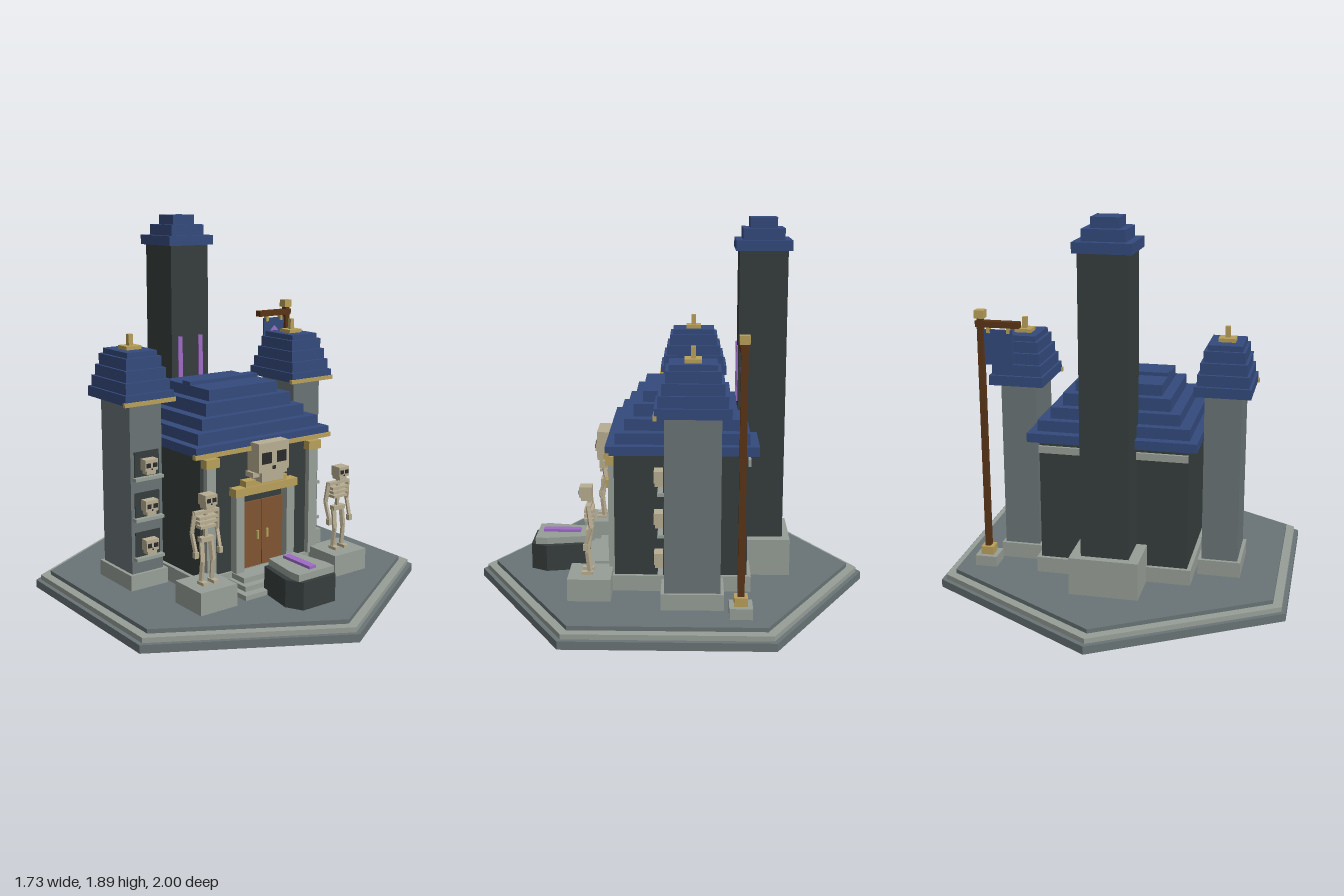
import * as THREE from 'three';

const mat = (name, color) => {
  const m = new THREE.MeshStandardMaterial({ color });
  m.name = name;
  return m;
};

export function createModel() {
  const darkStone = mat('dark stone', 0x363d3c);
  const midStone = mat('mid stone', 0x697375);
  const lightStone = mat('light stone', 0x979e97);
  const roofBlue = mat('roof blue', 0x344a7c);
  const gold = mat('gold', 0xb89f5a);
  const bone = mat('bone', 0xb8ad92);
  const doorWood = mat('door wood', 0x805431);
  const poleWood = mat('pole wood', 0x5a3518);
  const purple = mat('purple glow', 0x9d6bc4);
  const socket = mat('socket black', 0x2a2b2c);

  const model = new THREE.Group();
  model.name = 'mausoleum';

  const group = (name, parent = model, x = 0, y = 0, z = 0) => {
    const g = new THREE.Group();
    g.name = name;
    g.position.set(x, y, z);
    parent.add(g);
    return g;
  };
  const add = (parent, name, geometry, material) => {
    const m = new THREE.Mesh(geometry, material);
    m.name = name;
    parent.add(m);
    return m;
  };
  // Box given by its low and high corners
  const box = (parent, name, material, x0, x1, y0, y1, z0, z1) => {
    const m = add(parent, name, new THREE.BoxGeometry(x1 - x0, y1 - y0, z1 - z0), material);
    m.position.set((x0 + x1) / 2, (y0 + y1) / 2, (z0 + z1) / 2);
    return m;
  };
  // Box centred on x
  const mid = (parent, name, material, hx, y0, y1, z0, z1) =>
    box(parent, name, material, -hx, hx, y0, y1, z0, z1);
  // Stepped roof; each tier is [half x, half z, bottom, top]
  const steppedRoof = (parent, tiers) => tiers.forEach(([hx, hz, y0, y1]) =>
    mid(parent, 'roofTier', roofBlue, hx, y0, y1, -hz, hz));
  // Square bone between two points
  const limb = (parent, name, a, b, t) => {
    const from = new THREE.Vector3(...a), to = new THREE.Vector3(...b);
    const m = add(parent, name, new THREE.BoxGeometry(t, from.distanceTo(to), t), bone);
    m.position.copy(from).add(to).multiplyScalar(0.5);
    m.quaternion.setFromUnitVectors(new THREE.Vector3(0, 1, 0), to.sub(from).normalize());
  };
  // Block skull resting on y = 0, back on z = 0, s = half width
  const skull = (parent, x, y, z, s, depth) => {
    const g = group('skull', parent, x, y, z);
    mid(g, 'cranium', bone, s, s * 0.55, s * 2.1, 0, depth);
    mid(g, 'jaw', bone, s * 0.72, 0, s * 0.55, 0, depth * 0.9);
    for (const e of [-1, 1]) {
      const c = e * s * 0.5;
      box(g, 'eyeSocket', socket, c - s * 0.32, c + s * 0.32, s * 1.0, s * 1.6, depth, depth + 0.003);
    }
    mid(g, 'noseHole', socket, s * 0.09, s * 0.66, s * 0.85, depth, depth + 0.003);
    return g;
  };

  // Hexagonal base
  const base = group('base');
  [[1, 0, 0.04, midStone], [0.975, 0.04, 0.065, lightStone], [0.925, 0.065, 0.086, midStone]]
    .forEach(([r, y0, y1, m]) => {
      const slab = add(base, 'baseSlab', new THREE.CylinderGeometry(r, r, y1 - y0, 6).toNonIndexed(), m);
      slab.geometry.computeVertexNormals();
      slab.position.y = (y0 + y1) / 2;
    });

  // Main hall
  const hall = group('hall');
  mid(hall, 'hallPlinth', lightStone, 0.39, 0.085, 0.165, -0.4, 0.285);
  mid(hall, 'hallWalls', darkStone, 0.37, 0.165, 0.79, -0.38, 0.27);
  mid(hall, 'rearCornice', lightStone, 0.37, 0.72, 0.755, -0.395, -0.38);
  mid(hall, 'eaveTrim', gold, 0.425, 0.775, 0.797, 0.29, 0.315);
  steppedRoof(group('hallRoof', hall, 0, 0, -0.062), [
    [0.417, 0.37, 0.785, 0.83], [0.375, 0.325, 0.83, 0.885], [0.32, 0.283, 0.885, 0.942],
    [0.267, 0.24, 0.942, 1.005], [0.216, 0.195, 1.005, 1.06], [0.216, 0.033, 1.06, 1.078],
  ]);
  for (const s of [-1, 1]) {
    const p = group('frontPillar', hall, s * 0.322);
    mid(p, 'pillarShaft', lightStone, 0.027, 0.165, 0.72, 0.27, 0.298);
    mid(p, 'pillarCapital', gold, 0.04, 0.72, 0.765, 0.27, 0.312);
  }

  // Doorway
  const door = group('doorway');
  [[0.245, 0.085, 0.11, 0.47], [0.212, 0.11, 0.135, 0.425], [0.19, 0.135, 0.162, 0.385]]
    .forEach(([hx, y0, y1, z1]) => mid(door, 'step', lightStone, hx, y0, y1, 0.27, z1));
  for (const s of [-1, 1]) {
    const c = s * 0.068;
    box(door, 'doorLeaf', doorWood, c - 0.066, c + 0.066, 0.162, 0.505, 0.27, 0.282);
    box(door, 'doorHandle', gold, s * 0.03 - 0.006, s * 0.03 + 0.006, 0.305, 0.35, 0.282, 0.292);
    box(door, 'doorJamb', lightStone, s * 0.16 - 0.025, s * 0.16 + 0.025, 0.162, 0.555, 0.27, 0.315);
  }
  mid(door, 'doorLintel', gold, 0.195, 0.555, 0.595, 0.27, 0.325);
  mid(door, 'skullShelf', gold, 0.13, 0.595, 0.625, 0.27, 0.318);
  const crest = skull(door, 0, 0.62, 0.285, 0.094, 0.09);
  for (const s of [-1, 1])
    box(crest, 'cheek', bone, s * 0.085 - 0.022, s * 0.085 + 0.022, 0.025, 0.05, 0, 0.06);

  // Side towers with skull niches
  for (const s of [-1, 1]) {
    const t = group('sideTower', model, s * 0.512, 0, -0.113);
    mid(t, 'towerPlinth', lightStone, 0.107, 0.085, 0.165, -0.15, 0.15);
    mid(t, 'towerShaft', midStone, 0.09, 0.165, 1.03, -0.133, 0.133);
    mid(t, 'towerEaveTrim', gold, 0.145, 1.015, 1.036, 0.165, 0.183);
    steppedRoof(t, [
      [0.137, 0.178, 1.02, 1.07], [0.125, 0.162, 1.07, 1.125], [0.113, 0.145, 1.125, 1.18],
      [0.1, 0.128, 1.18, 1.235], [0.085, 0.112, 1.235, 1.262],
    ]);
    mid(t, 'finialBase', gold, 0.042, 1.262, 1.28, -0.04, 0.04);
    mid(t, 'finialSpike', gold, 0.012, 1.28, 1.335, -0.012, 0.012);
    for (const y of [0.25, 0.45, 0.655]) {
      mid(t, 'niche', darkStone, 0.07, y, y + 0.125, 0.133, 0.138);
      mid(t, 'nicheLedge', lightStone, 0.08, y - 0.016, y, 0.133, 0.165);
      skull(t, 0, y + 0.015, 0.138, 0.036, 0.045);
    }
  }

  // Tall rear tower
  const tall = group('tallTower', model, 0, 0, -0.453);
  mid(tall, 'tallTowerPlinth', lightStone, 0.17, 0.085, 0.275, -0.155, 0.075);
  mid(tall, 'tallTowerShaft', darkStone, 0.117, 0.275, 1.74, -0.118, 0.118);
  steppedRoof(tall, [[0.138, 0.137, 1.735, 1.785], [0.102, 0.102, 1.785, 1.84], [0.067, 0.067, 1.84, 1.89]]);
  for (const x of [-0.066, 0.064])
    box(tall, 'glowingSlit', purple, x - 0.013, x + 0.013, 0.98, 1.26, 0.118, 0.125);

  // Coffin altar
  const altar = group('altar');
  const coffinPart = (name, pts, y0, y1, m) => {
    const outline = pts.concat(pts.map(([x, z]) => [-x, z]).reverse());
    const shape = new THREE.Shape(outline.map(([x, z]) => new THREE.Vector2(x, -z)));
    const g = new THREE.ExtrudeGeometry(shape, { depth: y1 - y0, bevelEnabled: false });
    add(altar, name, g.rotateX(-Math.PI / 2).translate(0, y0, 0), m);
  };
  coffinPart('altarBody', [[0.105, 0.435], [0.143, 0.64], [0.1, 0.722]], 0.085, 0.222, darkStone);
  coffinPart('altarSlab', [[0.08, 0.438], [0.113, 0.64], [0.11, 0.7]], 0.222, 0.256, lightStone);
  mid(altar, 'altarGlow', purple, 0.02, 0.256, 0.27, 0.475, 0.67);

  // Skeleton guards on pedestals
  for (const s of [-1, 1]) {
    const k = group('skeletonGuard', model, s * 0.418, 0, 0.385);
    mid(k, 'pedestal', lightStone, 0.106, 0.085, 0.197, -0.105, 0.105);
    skull(k, 0, 0.567, -0.015, 0.033, 0.06);
    limb(k, 'spine', [0, 0.41, -0.005], [0, 0.57, 0], 0.016);
    mid(k, 'shoulders', bone, 0.07, 0.54, 0.555, -0.012, 0.012);
    [[0.053, 0.515], [0.05, 0.493], [0.044, 0.47]].forEach(([hx, y]) =>
      mid(k, 'rib', bone, hx, y, y + 0.014, -0.022, 0.022));
    mid(k, 'pelvis', bone, 0.037, 0.402, 0.425, -0.016, 0.016);
    for (const e of [-1, 1]) {
      limb(k, 'upperArm', [e * 0.065, 0.55, 0], [e * 0.073, 0.45, -0.012], 0.018);
      limb(k, 'foreArm', [e * 0.073, 0.45, -0.012], [e * 0.07, 0.36, 0.015], 0.015);
      box(k, 'hand', bone, e * 0.07 - 0.011, e * 0.07 + 0.011, 0.335, 0.365, 0.004, 0.026);
      limb(k, 'thigh', [e * 0.027, 0.41, 0], [e * 0.029, 0.31, 0.012], 0.02);
      limb(k, 'shin', [e * 0.029, 0.31, 0.012], [e * 0.031, 0.2, 0], 0.017);
      box(k, 'foot', bone, e * 0.031 - 0.014, e * 0.031 + 0.014, 0.197, 0.212, -0.014, 0.04);
    }
  }

  // Banner pole
  const pole = group('bannerPole', model, 0.664, 0, -0.34);
  mid(pole, 'poleFooting', lightStone, 0.056, 0.085, 0.14, -0.055, 0.055);
  mid(pole, 'poleSocket', gold, 0.032, 0.14, 0.182, -0.032, 0.032);
  mid(pole, 'poleShaft', poleWood, 0.014, 0.182, 1.37, -0.016, 0.016);
  mid(pole, 'poleCap', gold, 0.024, 1.37, 1.41, -0.024, 0.024);
  box(pole, 'crossArm', poleWood, -0.198, 0.022, 1.327, 1.358, -0.019, 0.019);
  box(pole, 'banner', roofBlue, -0.16, -0.018, 1.14, 1.315, -0.006, 0.006);
  for (const x of [-0.14, -0.04])
    box(pole, 'bannerClip', gold, x - 0.008, x + 0.008, 1.298, 1.33, -0.012, 0.012);
  const emblem = add(pole, 'bannerDiamond', new THREE.BoxGeometry(0.045, 0.045, 0.008), purple);
  emblem.position.set(-0.089, 1.24, 0.008);
  emblem.rotation.z = Math.PI / 4;

  return model;
}
